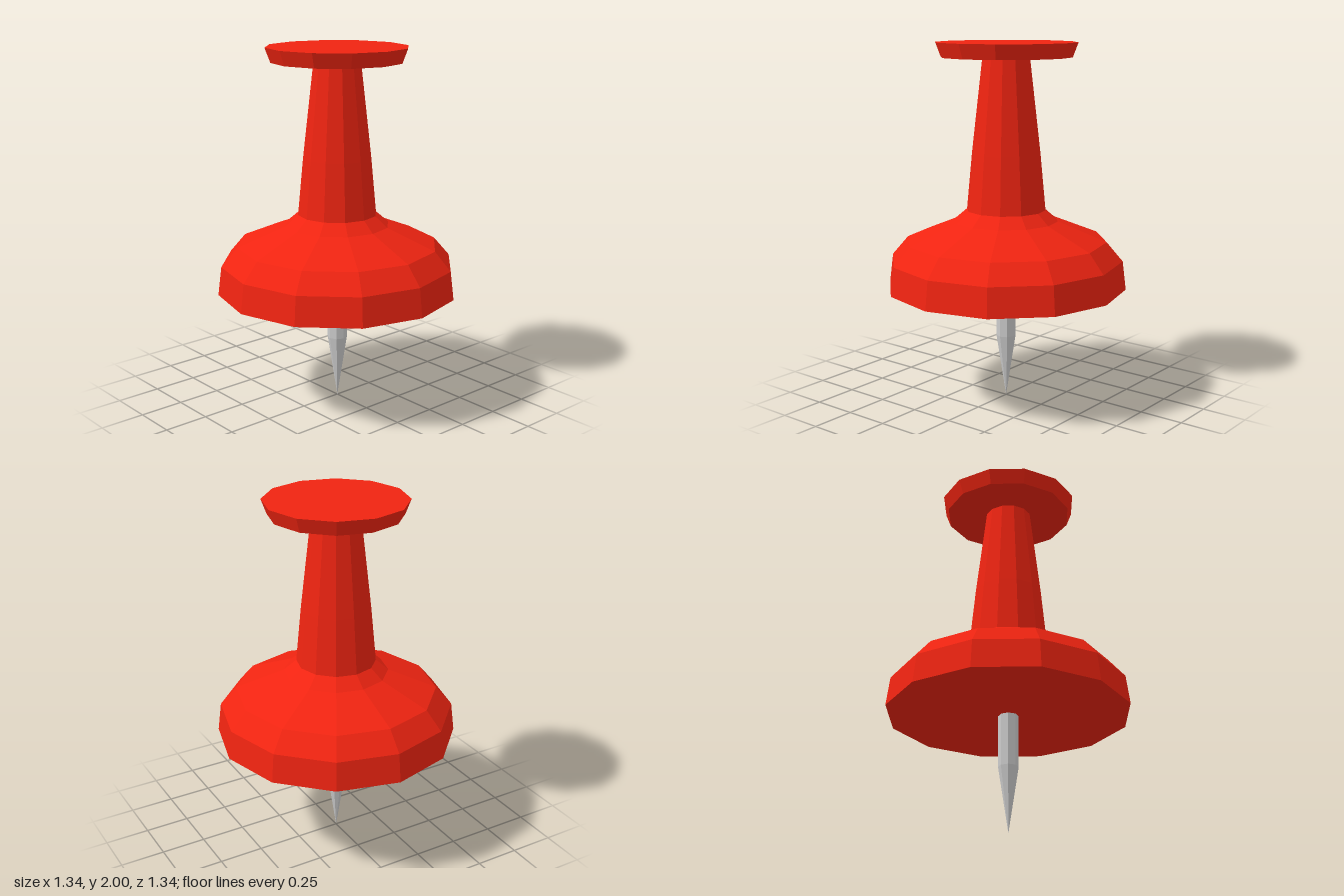
import * as THREE from 'three';

// Faceted turned part from a bottom-to-top [radius, height] profile
function turned(name, profile, sides, color) {
  const points = profile.map(([r, y]) => new THREE.Vector2(r, y));
  const mesh = new THREE.Mesh(
    new THREE.LatheGeometry(points, sides),
    new THREE.MeshStandardMaterial({ color, flatShading: true })
  );
  mesh.name = name;
  return mesh;
}

export function createModel() {
  const group = new THREE.Group();
  group.name = 'pushPin';
  const red = 0xf02411;

  // Wide domed base with a flat underside
  group.add(turned('base', [
    [0, 0.65], [0.67, 0.65], [0.65, 0.81], [0.56, 0.915], [0.29, 1.025], [0.22, 1.085],
  ], 12, red));

  // Tapered grip
  group.add(turned('grip', [[0.22, 1.085], [0.19, 1.4], [0.13, 1.92]], 12, red));

  // Flared cap
  group.add(turned('cap', [[0, 1.92], [0.36, 1.92], [0.39, 2], [0, 2]], 12, red));

  // Pointed metal needle
  group.add(turned('needle', [[0, 0], [0.055, 0.36], [0.055, 0.65]], 8, 0xcccccc));

  return group;
}
